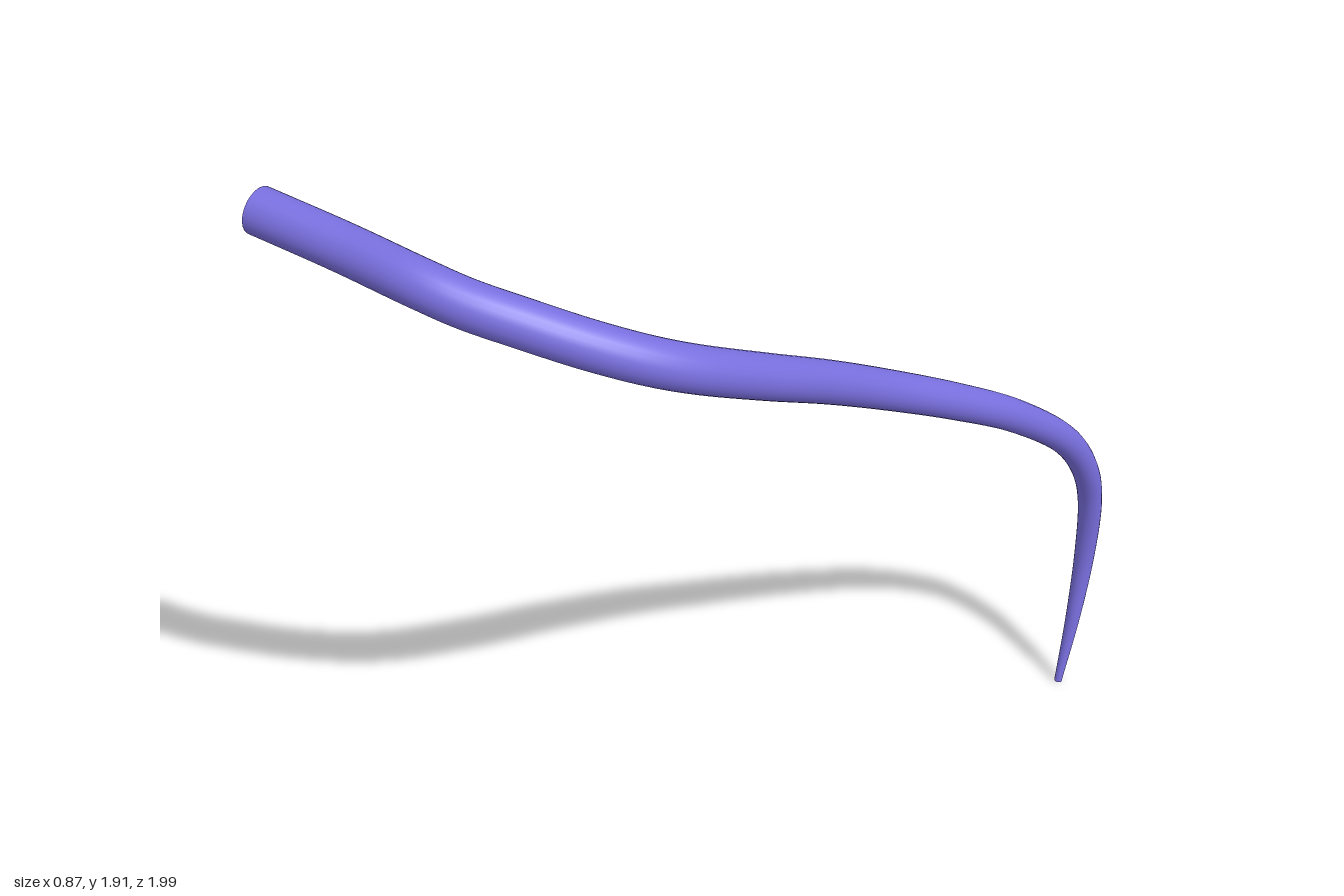
import * as THREE from 'three';

const SEGMENTS = 160;
const SIDES = 24;

// Centreline from the thick upper end to the thin tip at the ground
const path = new THREE.CatmullRomCurve3([
  [-0.415, 1.857, 0.942], [-0.2, 1.836, 0.878], [0, 1.82, 0.83], [0.09, 1.793, 0.782],
  [0.18, 1.755, 0.705], [0.27, 1.703, 0.605], [0.335, 1.65, 0.5], [0.366, 1.6, 0.4],
  [0.377, 1.497, 0.2], [0.368, 1.39, 0], [0.364, 1.277, -0.2], [0.38, 1.165, -0.4],
  [0.394, 1.04, -0.6], [0.394, 0.872, -0.8], [0.383, 0.73, -0.898], [0.367, 0.6, -0.946],
  [0.347, 0.4, -0.967], [0.34, 0.2, -0.951], [0.335, 0.003, -0.92],
].map((p) => new THREE.Vector3(...p)));
path.arcLengthDivisions = 600;

// Taper: (fraction of length, radius)
const taper = new THREE.SplineCurve([
  [0, 0.055], [0.29, 0.054], [0.45, 0.05], [0.67, 0.04], [0.87, 0.027], [1, 0.01],
].map((p) => new THREE.Vector2(...p)));

function radiusAt(u) {
  let lo = 0, hi = 1;
  for (let i = 0; i < 24; i++) {
    const mid = (lo + hi) / 2;
    if (taper.getPoint(mid).x < u) lo = mid; else hi = mid;
  }
  return taper.getPoint(lo).y;
}

// Unit-radius tube whose rings are shrunk to follow the taper
function taperedTube() {
  const geo = new THREE.TubeGeometry(path, SEGMENTS, 1, SIDES, false);
  const pos = geo.attributes.position;
  const v = new THREE.Vector3();
  for (let i = 0; i <= SEGMENTS; i++) {
    const centre = path.getPointAt(i / SEGMENTS);
    const r = radiusAt(i / SEGMENTS);
    for (let j = 0; j <= SIDES; j++) {
      const k = i * (SIDES + 1) + j;
      v.fromBufferAttribute(pos, k).sub(centre).multiplyScalar(r).add(centre);
      pos.setXYZ(k, v.x, v.y, v.z);
    }
  }
  return geo;
}

export function createModel() {
  const group = new THREE.Group();
  group.name = 'curvedTaperedTube';
  const material = new THREE.MeshStandardMaterial({ color: 0x7a70e0, side: THREE.DoubleSide });

  const tube = new THREE.Mesh(taperedTube(), material);
  tube.name = 'tube';
  group.add(tube);

  // Flat discs closing both ends
  for (const [u, name] of [[0, 'thickEnd'], [1, 'thinTip']]) {
    const cap = new THREE.Mesh(new THREE.CircleGeometry(radiusAt(u), SIDES), material);
    const outward = path.getTangentAt(u).multiplyScalar(u === 0 ? -1 : 1);
    cap.quaternion.setFromUnitVectors(new THREE.Vector3(0, 0, 1), outward);
    cap.position.copy(path.getPointAt(u));
    cap.name = name;
    group.add(cap);
  }
  return group;
}
